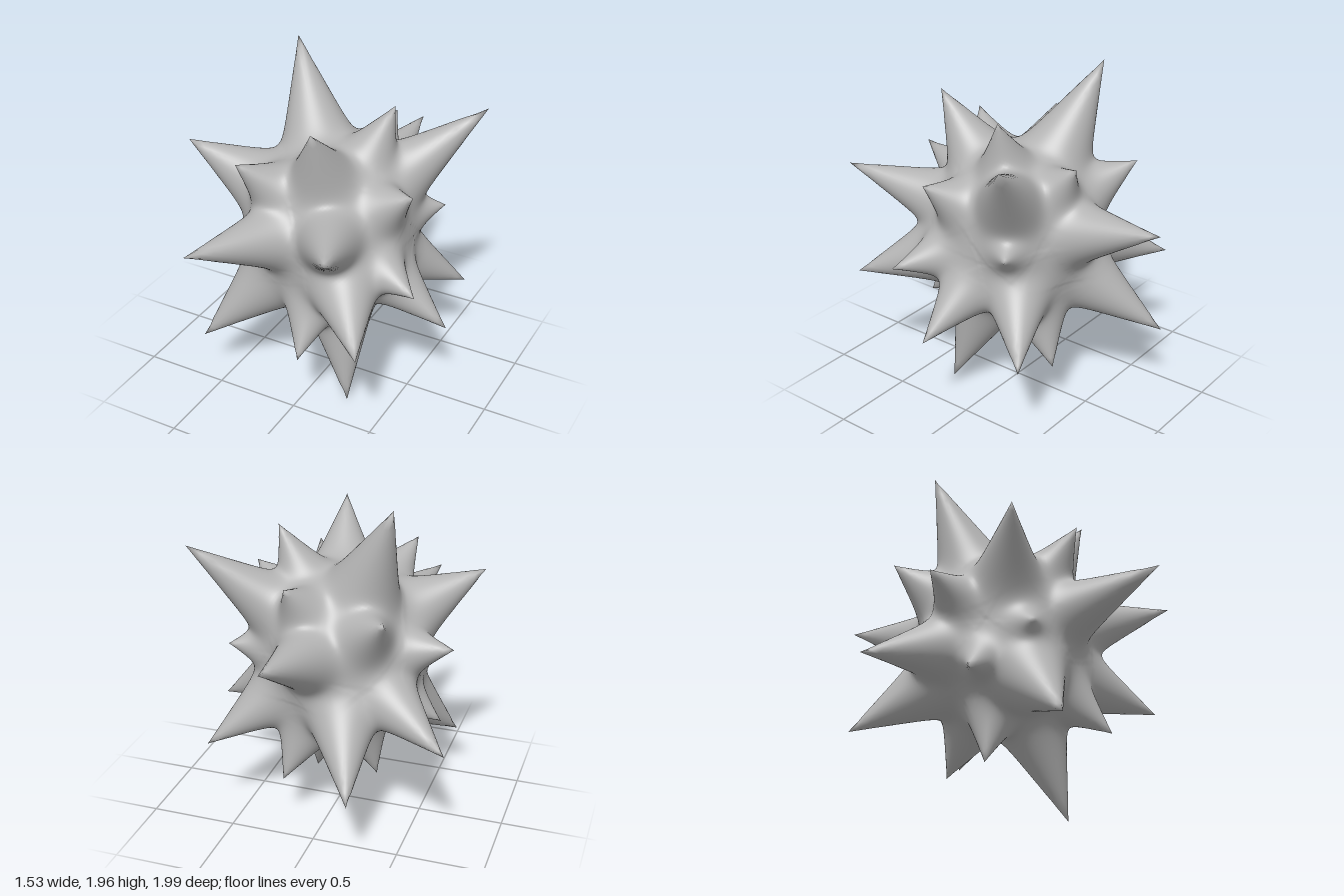
import * as THREE from 'three';
import { mergeVertices } from 'three/addons/utils/BufferGeometryUtils.js';

const CENTRE = new THREE.Vector3(0, 1, 0);
const CORE = 0.43;   // radius of the round core
const BLEND = 11;    // higher gives sharper creases between spikes

// Spike tips: x, y, z, half-width at the root
const TIPS = [
  // upper spikes
  [-0.39, 1.97, -0.30, 0.24], [0.73, 1.70, -0.44, 0.21], [-0.77, 1.48, 0.29, 0.23],
  [0.11, 1.78, 0.46, 0.22], [0.32, 1.76, -0.11, 0.2], [-0.31, 1.54, 0.53, 0.2],
  [0.15, 1.54, -0.50, 0.2], [-0.41, 1.42, -0.53, 0.2], [0.58, 1.41, 0.20, 0.19],
  // middle spikes
  [-0.35, 1.20, 0.99, 0.2], [0.43, 1.32, 0.90, 0.2], [0.10, 1.28, -1.00, 0.2],
  [-0.71, 1.18, -0.19, 0.18], [0.55, 1.10, -0.33, 0.15], [0.68, 0.90, 0.36, 0.17],
  [-0.51, 0.90, 0.33, 0.17],
  // lower spikes
  [0.54, 0.70, 0.77, 0.23], [0.76, 0.56, 0.08, 0.19], [0.64, 0.52, -0.49, 0.2],
  [-0.30, 0.47, -0.81, 0.22], [-0.76, 0.72, -0.55, 0.2], [-0.61, 0.63, 0.00, 0.15],
  [-0.60, 0.32, 0.50, 0.24], [0.09, 0.44, 0.60, 0.2], [0.25, 0.01, 0.30, 0.23],
  [-0.24, 0.23, -0.03, 0.19], [0.21, 0.32, -0.41, 0.21],
];

const spikes = TIPS.map(([x, y, z, width]) => {
  const dir = new THREE.Vector3(x, y, z).sub(CENTRE);
  const length = dir.length();
  return { dir: dir.normalize(), length, slope: width / (length - 0.4) };
});

// Distance from the centre to the surface: core and cones, smoothly joined
function radius(dir) {
  let sum = CORE ** BLEND;
  for (const { dir: axis, length, slope } of spikes) {
    const c = Math.min(1, dir.dot(axis));
    if (c < 0.4) continue;
    const s = Math.sqrt(1 - c * c);
    sum += (slope * length / (s + slope * c)) ** BLEND;
  }
  return sum ** (1 / BLEND);
}

export function createModel() {
  const grey = new THREE.MeshStandardMaterial({ color: 0xb4b4b4 });
  grey.name = 'stone grey';

  // Fine sphere with shared corners, so the normals come out smooth
  let geometry = new THREE.IcosahedronGeometry(1, 44);
  geometry.deleteAttribute('uv');
  geometry.deleteAttribute('normal');
  geometry = mergeVertices(geometry, 1e-5);
  const pos = geometry.attributes.position;
  const v = new THREE.Vector3();

  // Move the closest corner onto each spike axis for a sharp tip
  for (const { dir } of spikes) {
    let best = 0, bestDot = -1;
    for (let i = 0; i < pos.count; i++) {
      const d = v.fromBufferAttribute(pos, i).dot(dir);
      if (d > bestDot) { bestDot = d; best = i; }
    }
    pos.setXYZ(best, dir.x, dir.y, dir.z);
  }

  // Push the sphere out into spikes
  for (let i = 0; i < pos.count; i++) {
    v.fromBufferAttribute(pos, i).normalize();
    v.multiplyScalar(radius(v)).add(CENTRE);
    pos.setXYZ(i, v.x, v.y, v.z);
  }
  geometry.computeVertexNormals();

  const body = new THREE.Mesh(geometry, grey);
  body.name = 'spikyBody';
  const group = new THREE.Group();
  group.name = 'spikyBall';
  group.add(body);
  return group;
}
